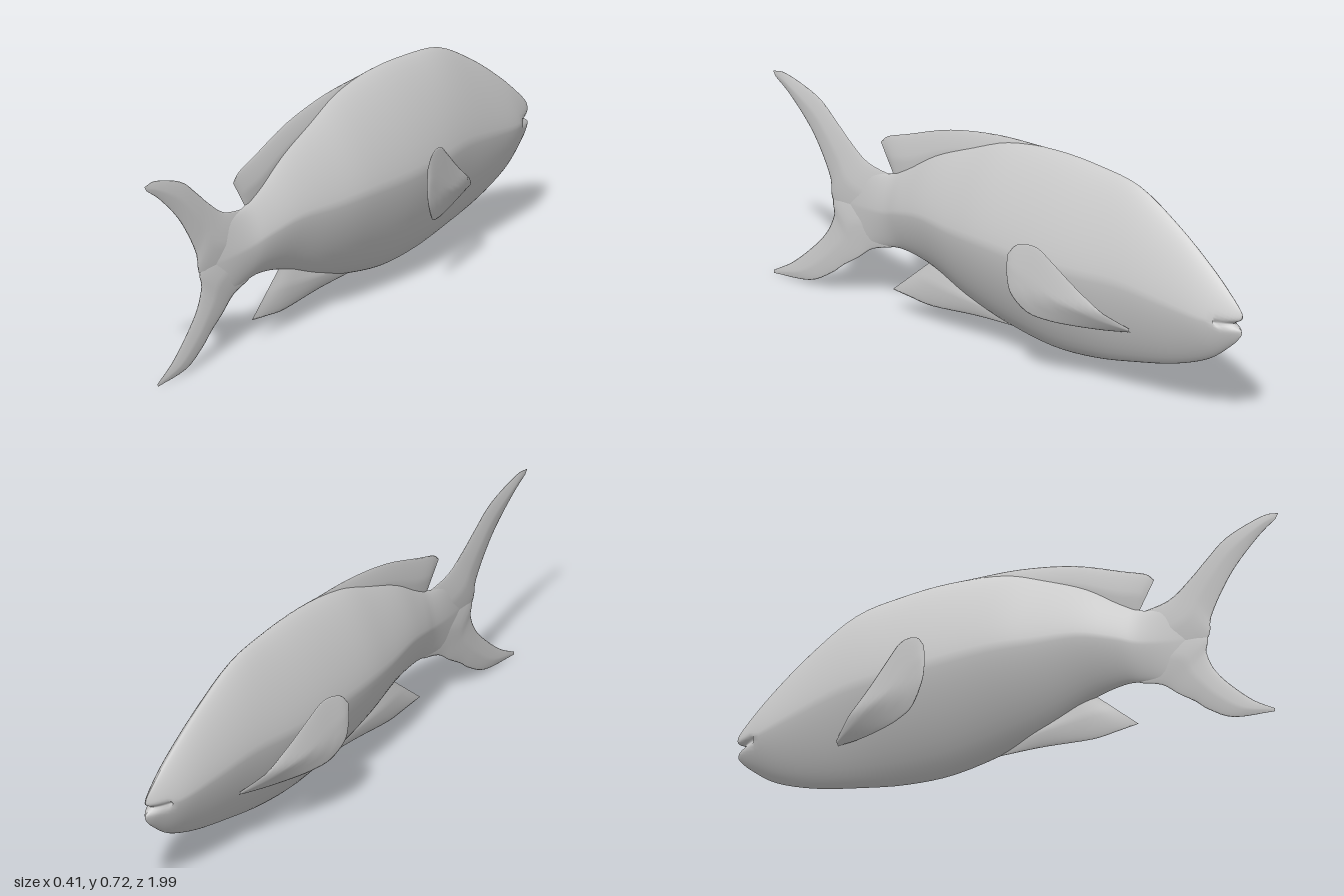
import * as THREE from 'three';

const material = new THREE.MeshStandardMaterial({ color: 0xcccccc });

// Slight sideways lean of the whole fish
const lean = (y) => -(y - 0.22) * 0.045;

// Smooth loft. Station: [z, y of edge A, z, y of edge B, half thickness].
// Each ring is a pointed oval running from edge A to edge B and back.
function loft(name, stations, { around = 24, steps = 4, bend = (v) => v.setX(v.x + lean(v.y)) } = {}) {
  const curve = (i) => new THREE.CatmullRomCurve3(
    stations.map((s) => new THREE.Vector3(s[4], s[i + 1], s[i])), false, 'catmullrom', 0.5);
  const edgeA = curve(0), edgeB = curve(2);
  const rows = (stations.length - 1) * steps;
  const points = [], index = [];
  for (let r = 0; r <= rows; r++) {
    const a = edgeA.getPoint(r / rows), b = edgeB.getPoint(r / rows);
    const half = Math.max(0, a.x);
    for (let i = 0; i < around; i++) {
      const angle = (i / around) * Math.PI * 2;
      const c = Math.cos(angle), s = Math.sin(angle);
      const along = Math.sign(c) * Math.abs(c) ** 1.43;
      const v = a.clone().lerp(b, (1 - along) / 2);
      v.x = half * Math.sign(s) * Math.abs(s) ** 1.5;
      points.push(bend(v));
    }
  }
  for (let r = 0; r < rows; r++) {
    for (let i = 0; i < around; i++) {
      const p = r * around + i, q = r * around + (i + 1) % around;
      index.push(p, q, p + around, q, q + around, p + around);
    }
  }
  // Turn the faces outward when the enclosed volume comes out negative
  let volume = 0;
  const n = new THREE.Vector3();
  for (let k = 0; k < index.length; k += 3) {
    volume += points[index[k]].dot(n.crossVectors(points[index[k + 1]], points[index[k + 2]]));
  }
  if (volume < 0) index.reverse();
  const geometry = new THREE.BufferGeometry().setFromPoints(points);
  geometry.setIndex(index);
  geometry.computeVertexNormals();
  const mesh = new THREE.Mesh(geometry, material);
  mesh.name = name;
  return mesh;
}

export function createModel() {
  const fish = new THREE.Group();
  fish.name = 'fish';

  // Body from snout to tail root, with the mouth pressed into the snout
  fish.add(loft('body', [
    [-0.995, 0.375, -0.995, 0.315, 0],
    [-0.99, 0.39, -0.985, 0.30, 0.012],
    [-0.95, 0.43, -0.95, 0.265, 0.032],
    [-0.86, 0.505, -0.86, 0.20, 0.062],
    [-0.72, 0.602, -0.72, 0.147, 0.085],
    [-0.55, 0.69, -0.55, 0.108, 0.108],
    [-0.38, 0.714, -0.38, 0.078, 0.13],
    [-0.2, 0.718, -0.2, 0.07, 0.14],
    [0, 0.695, 0, 0.1, 0.135],
    [0.15, 0.645, 0.15, 0.14, 0.115],
    [0.3, 0.58, 0.3, 0.2, 0.085],
    [0.42, 0.5, 0.42, 0.222, 0.055],
    [0.5, 0.455, 0.5, 0.215, 0.032],
    [0.62, 0.44, 0.62, 0.2, 0.013],
    [0.7, 0.38, 0.7, 0.27, 0],
  ], {
    around: 48,
    bend: (v) => {
      if (v.z < -0.93) v.z += 0.03 * Math.exp(-(((v.y - 0.345) / 0.012) ** 2));
      return v.setX(v.x + lean(v.y));
    },
  }));

  // Fins along the back and belly
  fish.add(loft('dorsalFin', [
    [-0.15, 0.715, -0.15, 0.66, 0.004],
    [0.05, 0.703, 0.05, 0.6, 0.012],
    [0.25, 0.667, 0.25, 0.53, 0.013],
    [0.43, 0.605, 0.38, 0.46, 0.012],
    [0.51, 0.577, 0.45, 0.445, 0.008],
    [0.54, 0.55, 0.475, 0.445, 0],
  ]));
  fish.add(loft('analFin', [
    [-0.05, 0.14, -0.05, 0.093, 0.004],
    [0.1, 0.18, 0.12, 0.085, 0.014],
    [0.2, 0.22, 0.3, 0.068, 0.014],
    [0.25, 0.23, 0.39, 0.073, 0.01],
    [0.3, 0.225, 0.47, 0.08, 0],
  ]));

  // Forked tail
  fish.add(loft('upperTailLobe', [
    [0.47, 0.45, 0.53, 0.25, 0.01],
    [0.59, 0.468, 0.718, 0.295, 0.013],
    [0.67, 0.52, 0.745, 0.375, 0.01],
    [0.73, 0.57, 0.785, 0.45, 0.009],
    [0.81, 0.63, 0.84, 0.525, 0.008],
    [0.94, 0.67, 0.925, 0.605, 0.006],
    [1, 0.666, 0.99, 0.65, 0],
  ]));
  fish.add(loft('lowerTailLobe', [
    [0.48, 0.215, 0.5, 0.4, 0.01],
    [0.56, 0.19, 0.715, 0.33, 0.013],
    [0.62, 0.145, 0.725, 0.26, 0.01],
    [0.68, 0.105, 0.75, 0.2, 0.009],
    [0.73, 0.065, 0.8, 0.14, 0.008],
    [0.82, 0.018, 0.89, 0.06, 0.006],
    [0.97, 0.002, 0.97, 0.012, 0],
  ]));

  // Mirrored side fins, flaring outward to the rear and tucked in below
  for (const [name, side] of [['leftPectoralFin', 1], ['rightPectoralFin', -1]]) {
    fish.add(loft(name, [
      [-0.59, 0.25, -0.59, 0.235, 0.004],
      [-0.5, 0.31, -0.5, 0.225, 0.009],
      [-0.42, 0.37, -0.4, 0.222, 0.009],
      [-0.35, 0.43, -0.32, 0.226, 0.008],
      [-0.29, 0.475, -0.25, 0.245, 0.007],
      [-0.225, 0.47, -0.2, 0.305, 0.006],
      [-0.19, 0.43, -0.187, 0.37, 0],
    ], {
      bend: (v) => {
        const tuck = Math.max(0, 0.3 - v.y) * Math.max(0.15, -1.2 * v.z - 0.1);
        return v.setX(side * (v.x + 0.115 + 0.24 * (v.z + 0.55) - tuck));
      },
    }));
  }
  return fish;
}
